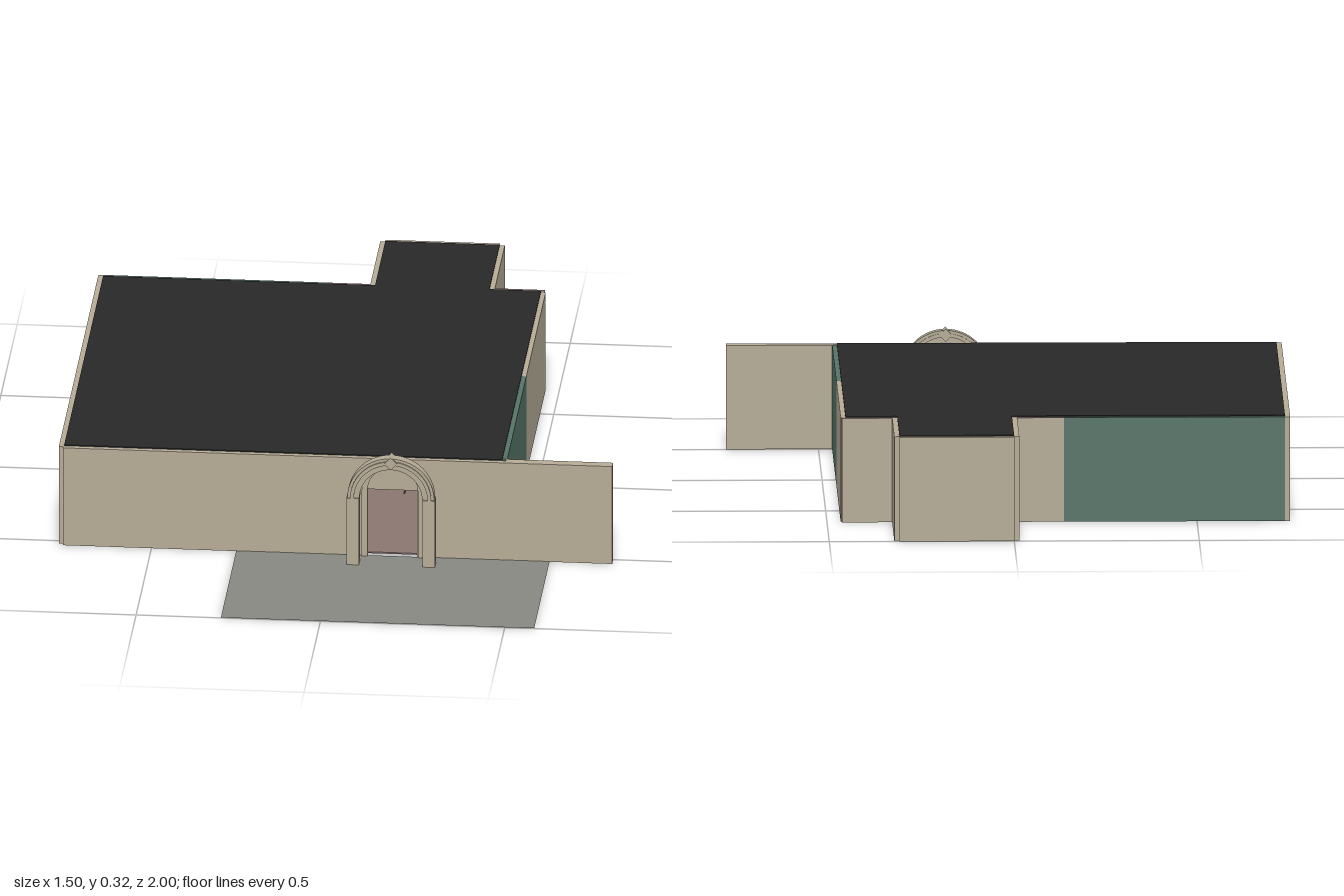
import * as THREE from 'three';

const mat = (color, side = THREE.FrontSide) => new THREE.MeshStandardMaterial({ color, side });

export function createModel() {
  const model = new THREE.Group();
  const tan = mat(0xb5ab96), green = mat(0x567367), pink = mat(0x8c7274);
  const black = mat(0x282828), brown = mat(0x8a7670), grey = mat(0x888882, THREE.DoubleSide);
  const H = 0.285;

  const add = (name, geometry, material, parent = model) => {
    const mesh = new THREE.Mesh(geometry, material);
    mesh.name = name;
    parent.add(mesh);
    return mesh;
  };
  // box given by its limits on each axis
  const box = (name, x0, x1, y0, y1, z0, z1, material, parent) => {
    const mesh = add(name, new THREE.BoxGeometry(x1 - x0, y1 - y0, z1 - z0), material, parent);
    mesh.position.set((x0 + x1) / 2, (y0 + y1) / 2, (z0 + z1) / 2);
    return mesh;
  };
  const wall = (name, x0, x1, z0, z1, material) => box(name, x0, x1, 0, H, z0, z1, material);

  // front wall with a rectangular doorway
  const front = new THREE.Shape();
  [[-0.74, 0], [0.085, 0], [0.085, 0.195], [0.22, 0.195], [0.22, 0], [0.46, 0], [0.46, H], [-0.74, H]]
    .forEach(([x, y], i) => (i ? front.lineTo(x, y) : front.moveTo(x, y)));
  add('frontWall', new THREE.ExtrudeGeometry(front, { depth: 0.015, bevelEnabled: false }), tan).position.z = 0.515;
  wall('frontWallExtension', 0.46, 0.75, 0.503, 0.53, tan);

  // side walls
  wall('rightSideWallRear', -0.752, -0.738, -0.685, -0.08, tan);
  wall('rightSideWallFront', -0.752, -0.738, -0.08, 0.52, tan);
  wall('leftSideWallRear', 0.45, 0.463, -0.67, -0.08, tan);
  wall('leftSideWallFront', 0.45, 0.463, -0.08, 0.503, green);

  // back walls: pink inside, tan on the outer face
  const lined = [pink, pink, pink, pink, pink, tan];
  wall('backWallGreen', -0.738, -0.14, -0.687, -0.673, green);
  wall('backWallMiddle', -0.14, -0.012, -0.687, -0.673, lined);
  wall('backWallEnd', 0.322, 0.46, -0.687, -0.67, lined);

  // alcove walls
  wall('alcoveWallRight', -0.014, 0, -0.988, -0.673, tan);
  wall('alcoveWallLeft', 0.31, 0.324, -0.988, -0.673, tan);
  wall('alcoveWallBack', 0, 0.31, -1, -0.985, tan);

  // floors, roofs and paving
  for (const [name, x0, x1, z0, z1, floor] of [
    ['hall', -0.738, 0.45, -0.673, 0.515, brown],
    ['alcove', 0, 0.31, -0.985, -0.673, grey],
  ]) {
    box(name + 'Floor', x0, x1, 0.001, 0.005, z0, z1, floor);
    box(name + 'Roof', x0, x1, 0.283, 0.288, z0, z1, black);
  }
  const paving = add('forecourt', new THREE.PlaneGeometry(0.85, 0.47), grey);
  paving.rotation.x = -Math.PI / 2;
  paving.position.set(0.155, 0.001, 0.765);

  // low counter in the alcove
  box('counter', 0.03, 0.28, 0.005, 0.062, -0.96, -0.88, tan);
  box('counterTop', 0.03, 0.28, 0.062, 0.065, -0.96, -0.88, pink);

  // free-standing arch with stepped mouldings
  const arch = new THREE.Group();
  arch.name = 'arch';
  arch.position.set(0.155, 0, 0);
  model.add(arch);
  const band = (name, inner, outer, z, depth) => {
    const s = new THREE.Shape();
    s.absarc(0, 0, outer, 0, Math.PI, false);
    s.absarc(0, 0, inner, Math.PI, 0, true);
    const g = new THREE.ExtrudeGeometry(s, { depth, bevelEnabled: false, curveSegments: 16 });
    add(name, g, tan, arch).position.set(0, 0.195, z);
  };
  band('archInnerBand', 0.085, 0.1, 0.569, 0.026);
  band('archMiddleBand', 0.1, 0.11, 0.565, 0.035);
  band('archOuterBand', 0.11, 0.118, 0.568, 0.028);
  for (const s of [-1, 1]) {
    const inner = 0.086 * s, outer = 0.12 * s;
    box('archPillar', Math.min(inner, outer), Math.max(inner, outer), 0, 0.195, 0.565, 0.6, tan, arch);
    // door jamb trim on the wall
    box('doorJamb', s * 0.076 - 0.008, s * 0.076 + 0.008, 0, 0.195, 0.53, 0.536, tan, arch);
  }
  band('doorArchTrim', 0.068, 0.084, 0.53, 0.006);
  const keystone = add('keystone', new THREE.CylinderGeometry(0.018, 0.018, 0.038, 4), tan, arch);
  keystone.rotation.x = Math.PI / 2;
  keystone.position.set(0, 0.3, 0.583);

  // small potted-plant twigs inside the doorway
  const plant = new THREE.Group();
  plant.name = 'plant';
  plant.position.set(0.165, 0.005, 0.1);
  model.add(plant);
  for (const [x0, y0, x1, y1] of [
    [-0.018, 0, 0, 0.05], [0.02, 0.01, 0, 0.05], [0, 0.03, 0, 0.07], [0, 0.05, 0.024, 0.088], [0, 0.055, -0.02, 0.065],
  ]) {
    const path = new THREE.LineCurve3(new THREE.Vector3(x0, y0, 0), new THREE.Vector3(x1, y1, 0.005));
    add('twig', new THREE.TubeGeometry(path, 1, 0.002, 5), green, plant);
  }
  return model;
}
